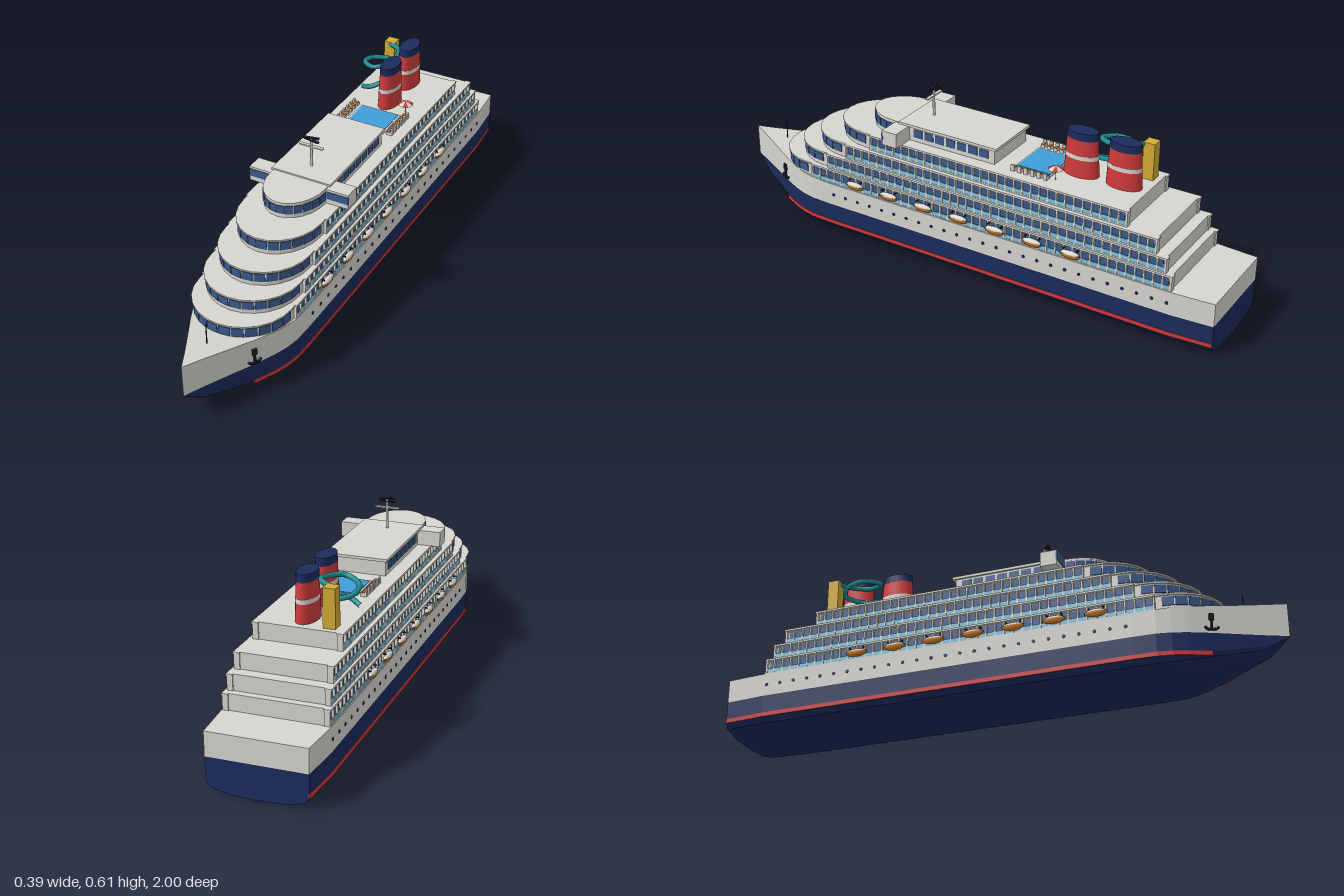
import * as THREE from 'three';
import { mergeGeometries } from 'three/addons/utils/BufferGeometryUtils.js';

const mat = (name, color) => Object.assign(new THREE.MeshStandardMaterial({ color }), { name });

export function createModel() {
  const ship = new THREE.Group();
  ship.name = 'cruiseShip';
  const white = mat('white', 0xd6d5cf), navy = mat('navy', 0x1b2b5c), red = mat('red', 0xd03a3a);
  const windowBlue = mat('windowBlue', 0x3b5a8c), glass = mat('railGlass', 0x7fbfdc), pool = mat('poolBlue', 0x3f9fd8);
  const orange = mat('orange', 0xcf7a22), teal = mat('teal', 0x1f8c90), yellow = mat('yellow', 0xd2aa35);
  const dark = mat('dark', 0x1c1f2c);

  const add = (name, geo, material, x = 0, y = 0, z = 0) => {
    const m = new THREE.Mesh(geo, material);
    m.name = name;
    m.position.set(x, y, z);
    ship.add(m);
    return m;
  };
  // box given by its extents
  const box = (x0, x1, y0, y1, z0, z1) =>
    new THREE.BoxGeometry(x1 - x0, y1 - y0, z1 - z0).translate((x0 + x1) / 2, (y0 + y1) / 2, (z0 + z1) / 2);
  // same box on one side (s = 1 or -1)
  const sideBox = (s, x0, x1, ...r) => s > 0 ? box(x0, x1, ...r) : box(-x1, -x0, ...r);
  const merged = (name, list, material) => add(name, mergeGeometries(list), material);

  // faceted skin over closed cross-sections running from stern to bow
  const loft = (rings) => {
    const v = [], n = rings[0].length;
    const tri = (...p) => p.forEach(q => v.push(...q));
    for (let i = 0; i < rings.length - 1; i++) for (let j = 0; j < n; j++) {
      const k = (j + 1) % n, A = rings[i], B = rings[i + 1];
      tri(A[j], B[j], B[k]);
      tri(A[j], B[k], A[k]);
    }
    const L = rings[rings.length - 1];
    for (let j = 1; j < n - 1; j++) {
      tri(rings[0][0], rings[0][j], rings[0][j + 1]);
      tri(L[0], L[j + 1], L[j]);
    }
    const g = new THREE.BufferGeometry();
    g.setAttribute('position', new THREE.Float32BufferAttribute(v, 3));
    g.computeVertexNormals();
    return g;
  };

  // hull stations: z, half width, sheer height, keel height
  const stations = [
    [-1, 0.17, 0.205, 0], [-0.85, 0.181, 0.205, 0], [0, 0.181, 0.205, 0], [0.52, 0.181, 0.205, 0],
    [0.6, 0.178, 0.207, 0], [0.65, 0.168, 0.21, 0.004], [0.7, 0.15, 0.213, 0.012], [0.77, 0.117, 0.218, 0.025],
    [0.85, 0.075, 0.224, 0.042], [0.93, 0.034, 0.231, 0.062], [0.965, 0.017, 0.234, 0.09], [1, 0.0005, 0.237, 0.118]];
  const BOOT = 0.12;
  add('upperHull', loft(stations.map(([z, w, d]) =>
    [[w, d, z], [w, BOOT, z], [-w, BOOT, z], [-w, d, z]])), white);
  add('lowerHull', loft(stations.map(([z, w, , k]) => {
    const half = [[1, 0.12], [1, 0.04], [0.92, 0.02], [0.55, 0.005]]
      .map(([f, y]) => [w * f, k + y * (BOOT - k) / BOOT, z]);
    return [...half, [0, k, z], ...half.map(([x, y]) => [-x, y, z]).reverse()];
  })), navy);
  for (const s of [1, -1])
    add('waterlineStripe', loft(stations.slice(0, 8).map(([z, w]) => {
      const a = s * (w + 0.002), b = s * (w - 0.004), o = Math.max(a, b), i = Math.min(a, b);
      return [[o, 0.055, z], [o, 0.04, z], [i, 0.04, z], [i, 0.055, z]];
    })), red);

  // plan outline with a rounded front made of flat facets, extruded upward
  const FACETS = 12;
  const arc = (w, front, depth, i) => {
    const a = Math.PI * i / FACETS;
    return [w * Math.cos(a), front - depth + depth * Math.sin(a)];
  };
  const slab = (w, front, back, depth, y0, y1) => {
    const pts = [];
    for (let i = 0; i <= FACETS; i++) pts.push(arc(w, front, depth, i));
    pts.push([-w, back], [w, back]);
    const shape = new THREE.Shape(pts.map(([x, z]) => new THREE.Vector2(x, -z)));
    return new THREE.ExtrudeGeometry(shape, { depth: y1 - y0, bevelEnabled: false }).rotateX(-Math.PI / 2).translate(0, y0, 0);
  };
  const frontWindows = (w, front, depth, y0, y1) => {
    const list = [];
    for (let i = 0; i < FACETS; i++) {
      const p = arc(w, front, depth, i), q = arc(w, front, depth, i + 1);
      const dx = q[0] - p[0], dz = q[1] - p[1], len = Math.hypot(dx, dz);
      list.push(new THREE.BoxGeometry(len * 0.9, y1 - y0, 0.006)
        .rotateY(Math.atan2(-dz, dx)).translate((p[0] + q[0]) / 2, (y0 + y1) / 2, (p[1] + q[1]) / 2));
    }
    return list;
  };

  // passenger decks: half width, front z, back z, floor y, top y
  const DEPTH = 0.17, BALCONY = 0.01;
  const decks = [
    [0.168, 0.79, -0.845, 0.203, 0.262], [0.162, 0.72, -0.82, 0.262, 0.318],
    [0.155, 0.64, -0.78, 0.318, 0.375], [0.142, 0.54, -0.665, 0.375, 0.433]];
  for (const [w, f, b, y0, y1] of decks) {
    const zs = f - DEPTH - 0.02, out = w + BALCONY, pitch = (zs - b) / Math.round((zs - b) / 0.033);
    add('deckWalls', slab(w, f, b, DEPTH, y0, y1), white);
    add('deckRoof', slab(w + 0.005, f + 0.006, b, DEPTH, y1 - 0.006, y1), white);
    merged('frontWindows', frontWindows(w, f, DEPTH, y0 + 0.016, y1 - 0.011), windowBlue);
    const frames = [], panes = [], rails = [];
    for (const s of [1, -1]) {
      frames.push(sideBox(s, w - 0.01, out + 0.002, y1 - 0.007, y1, b - 0.006, zs));
      frames.push(sideBox(s, w - 0.01, out, y0, y0 + 0.005, b, zs));
      frames.push(sideBox(s, w - 0.01, out, y0, y1 - 0.006, b - 0.004, b + 0.004));
      for (let z = zs; z > b + 0.01; z -= pitch)
        frames.push(sideBox(s, w - 0.01, out, y0, y1 - 0.006, z - 0.006, z));
      panes.push(sideBox(s, w - 0.004, w + 0.002, y0 + 0.006, y1 - 0.01, b + 0.01, zs - 0.006));
      rails.push(sideBox(s, out - 0.003, out - 0.001, y0 + 0.005, y0 + 0.021, b + 0.004, zs));
    }
    merged('balconyFrames', frames, white);
    merged('cabinWindows', panes, windowBlue);
    merged('balconyRails', rails, glass);
  }

  // bridge deck with wings
  add('bridgeWalls', slab(0.105, 0.41, -0.14, 0.14, 0.433, 0.488), white);
  add('bridgeFrontRoof', slab(0.105, 0.412, 0.1, 0.14, 0.484, 0.491), white);
  add('bridgeRoof', box(-0.112, 0.112, 0.486, 0.496, -0.15, 0.25), white);
  const bridgePanes = frontWindows(0.105, 0.41, 0.14, 0.449, 0.479);
  for (const s of [1, -1]) {
    add('bridgeWing', sideBox(s, 0.1, 0.188, 0.434, 0.488, 0.208, 0.268), white);
    bridgePanes.push(sideBox(s, 0.108, 0.1885, 0.452, 0.48, 0.264, 0.27));
    for (let z = 0.19; z > -0.12; z -= 0.045)
      bridgePanes.push(sideBox(s, 0.102, 0.107, 0.449, 0.479, z - 0.036, z));
  }
  merged('bridgeWindows', bridgePanes, windowBlue);

  // mast with radar bars, and bow pole
  add('mast', new THREE.CylinderGeometry(0.004, 0.005, 0.11, 8), white, 0, 0.548, 0.175);
  add('mastCrossbar', new THREE.BoxGeometry(0.09, 0.005, 0.012), white, 0, 0.573, 0.175);
  add('radarLower', new THREE.BoxGeometry(0.06, 0.004, 0.01), dark, 0, 0.596, 0.175).rotation.y = -0.15;
  add('radarUpper', new THREE.BoxGeometry(0.054, 0.005, 0.01), dark, 0, 0.605, 0.175).rotation.y = 0.2;
  add('bowPole', new THREE.CylinderGeometry(0.002, 0.002, 0.08, 6), dark, 0, 0.257, 0.855);

  // funnels: y0, y1, lower radius, upper radius, colour
  for (const z of [-0.418, -0.577])
    for (const [y0, y1, r0, r1, m] of [[0.433, 0.498, 0.037, 0.035, red], [0.498, 0.513, 0.0355, 0.035, white],
      [0.513, 0.568, 0.0345, 0.0325, red], [0.568, 0.595, 0.033, 0.032, navy]])
      add('funnel', new THREE.CylinderGeometry(r1, r0, y1 - y0, 28).scale(1, 1, 1.75), m, 0, (y0 + y1) / 2, z);

  // pool area
  add('poolRim', box(-0.08, 0.08, 0.433, 0.436, -0.345, -0.205), white);
  add('poolWater', box(-0.073, 0.073, 0.433, 0.438, -0.339, -0.211), pool);
  const loungers = [], cushions = [];
  for (const s of [1, -1]) for (let i = 0; i < 6; i++) {
    const z = -0.215 - i * 0.025;
    loungers.push(sideBox(s, 0.09, 0.112, 0.433, 0.444, z - 0.007, z + 0.007));
    cushions.push(sideBox(s, 0.091, 0.106, 0.444, 0.447, z - 0.006, z + 0.006));
    loungers.push(sideBox(s, 0.106, 0.112, 0.444, 0.456, z - 0.007, z + 0.007));
  }
  merged('loungers', loungers, white);
  merged('loungerCushions', cushions, orange);
  add('parasolPole', new THREE.CylinderGeometry(0.0015, 0.0015, 0.045, 6), white, 0.088, 0.455, -0.368);
  for (let i = 0; i < 8; i++)
    add('parasolPanel', new THREE.ConeGeometry(0.028, 0.014, 1, 1, false, i * Math.PI / 4, Math.PI / 4),
      i % 2 ? white : red, 0.088, 0.481, -0.368);

  // slide and its tower
  add('slideTower', box(-0.118, -0.076, 0.433, 0.567, -0.645, -0.603), yellow);
  const path = [[-0.095, 0.557, -0.61], [-0.045, 0.563, -0.575], [-0.035, 0.553, -0.51], [-0.08, 0.542, -0.45],
    [-0.14, 0.53, -0.49], [-0.14, 0.518, -0.55], [-0.085, 0.508, -0.585], [-0.04, 0.498, -0.54],
    [-0.05, 0.482, -0.47], [-0.09, 0.462, -0.44], [-0.13, 0.445, -0.455]].map(p => new THREE.Vector3(...p));
  add('waterSlide', new THREE.TubeGeometry(new THREE.CatmullRomCurve3(path), 80, 0.009, 10), teal);

  // lifeboats, portholes and anchors on both sides
  for (const s of [1, -1]) {
    for (let i = 0; i < 7; i++) {
      const z = 0.4 - i * 0.147;
      add('lifeboatHull', new THREE.SphereGeometry(1, 16, 6, 0, Math.PI * 2, Math.PI / 2, Math.PI / 2)
        .scale(0.011, 0.018, 0.041), orange, s * 0.183, 0.231, z);
      add('lifeboatCanopy', new THREE.SphereGeometry(1, 16, 6, 0, Math.PI * 2, 0, Math.PI / 2)
        .scale(0.011, 0.011, 0.036), white, s * 0.183, 0.231, z);
      for (const e of [-0.026, 0.026])
        add('davit', sideBox(s, 0.172, 0.186, 0.244, 0.248, z + e - 0.002, z + e + 0.002), dark);
    }
    const holes = [];
    for (let i = 0; i < 26; i++)
      holes.push(new THREE.CylinderGeometry(0.006, 0.006, 0.006, 12).rotateZ(Math.PI / 2)
        .translate(s * 0.18, 0.162, 0.5 - i * 0.0535));
    merged('portholes', holes, navy);
    const anchor = new THREE.Group();
    anchor.name = 'anchor';
    const bar = (w, h, x, y, tilt = 0) => {
      const m = new THREE.Mesh(new THREE.BoxGeometry(w, h, 0.008), dark);
      m.name = 'anchorBar';
      m.position.set(x, y, 0);
      m.rotation.z = tilt;
      anchor.add(m);
    };
    bar(0.006, 0.055, 0, 0.157);
    bar(0.016, 0.022, 0, 0.175);
    bar(0.028, 0.007, 0, 0.131);
    bar(0.014, 0.006, 0.018, 0.135, 0.7);
    bar(0.014, 0.006, -0.018, 0.135, -0.7);
    anchor.position.set(s * 0.122, 0, 0.772);
    anchor.rotation.y = s * 1.1;
    ship.add(anchor);
  }
  return ship;
}
